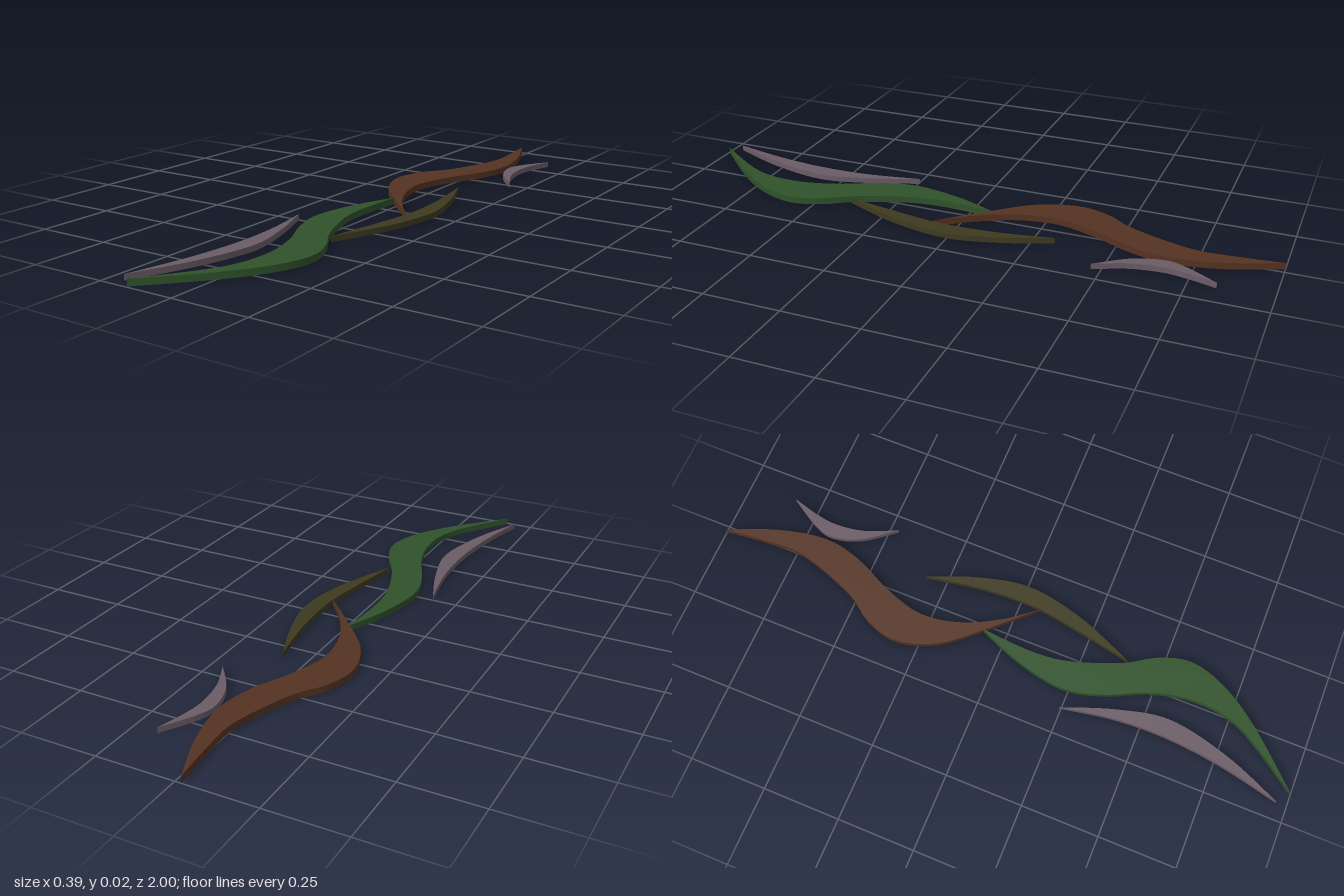
import * as THREE from 'three';
import { toCreasedNormals } from 'three/addons/utils/BufferGeometryUtils.js';

const material = (name, color) => {
  const m = new THREE.MeshStandardMaterial({ color });
  m.name = name;
  return m;
};

// Flat blade between two smooth edges that share both tips; points are [x, z]
function blade(name, mat, height, start, end, leftEdge, rightEdge) {
  const edge = (mids) =>
    new THREE.SplineCurve([start, ...mids, end].map(([x, z]) => new THREE.Vector2(x, -z))).getPoints(32);
  const left = edge(leftEdge);
  const right = edge(rightEdge).reverse().slice(1, -1);
  const shape = new THREE.Shape([...left, ...right]);
  const geo = new THREE.ExtrudeGeometry(shape, { depth: height, bevelEnabled: false });
  geo.rotateX(-Math.PI / 2);
  const mesh = new THREE.Mesh(toCreasedNormals(geo, 0.5), mat);
  mesh.name = name;
  return mesh;
}

export function createModel() {
  const group = new THREE.Group();
  group.name = 'curvedBlades';
  const brown = material('brown', 0x553322);
  const green = material('green', 0x2f522a);
  const olive = material('olive', 0x3e3a20);
  const mauve = material('mauve', 0x6b5c66);

  group.add(
    // Two large S-shaped blades
    blade('brownBlade', brown, 0.021, [-0.02, -1], [0.113, 0.07],
      [[-0.005, -0.85], [-0.005, -0.72], [-0.07, -0.53], [-0.135, -0.43], [-0.162, -0.32], [-0.12, -0.19], [-0.02, -0.07]],
      [[0.045, -0.84], [0.075, -0.68], [0.05, -0.55], [-0.01, -0.42], [-0.048, -0.29], [-0.03, -0.16], [0.035, -0.03]]),
    blade('greenBlade', green, 0.021, [-0.02, -0.08], [-0.157, 0.995],
      [[-0.08, 0.07], [-0.11, 0.23], [-0.08, 0.36], [-0.02, 0.49], [0.01, 0.635], [-0.02, 0.79]],
      [[-0.032, 0.08], [-0.02, 0.21], [0.04, 0.375], [0.1, 0.475], [0.127, 0.58], [0.09, 0.7], [0, 0.83]]),
    // Slim crescents
    blade('oliveCrescent', olive, 0.018, [0.078, -0.32], [0.055, 0.39],
      [[0.108, -0.14], [0.115, 0.04], [0.09, 0.21]],
      [[0.14, -0.16], [0.172, 0.01], [0.135, 0.2]]),
    blade('longMauveCrescent', mauve, 0.018, [-0.17, 0.245], [-0.198, 0.965],
      [[-0.14, 0.42], [-0.135, 0.59], [-0.155, 0.77]],
      [[-0.11, 0.41], [-0.077, 0.58], [-0.12, 0.78]]),
    blade('shortMauveCrescent', mauve, 0.018, [0.17, -0.835], [0.196, -0.47],
      [[0.11, -0.735], [0.092, -0.665], [0.12, -0.57]],
      [[0.145, -0.74], [0.137, -0.665], [0.152, -0.57]]),
  );
  return group;
}
